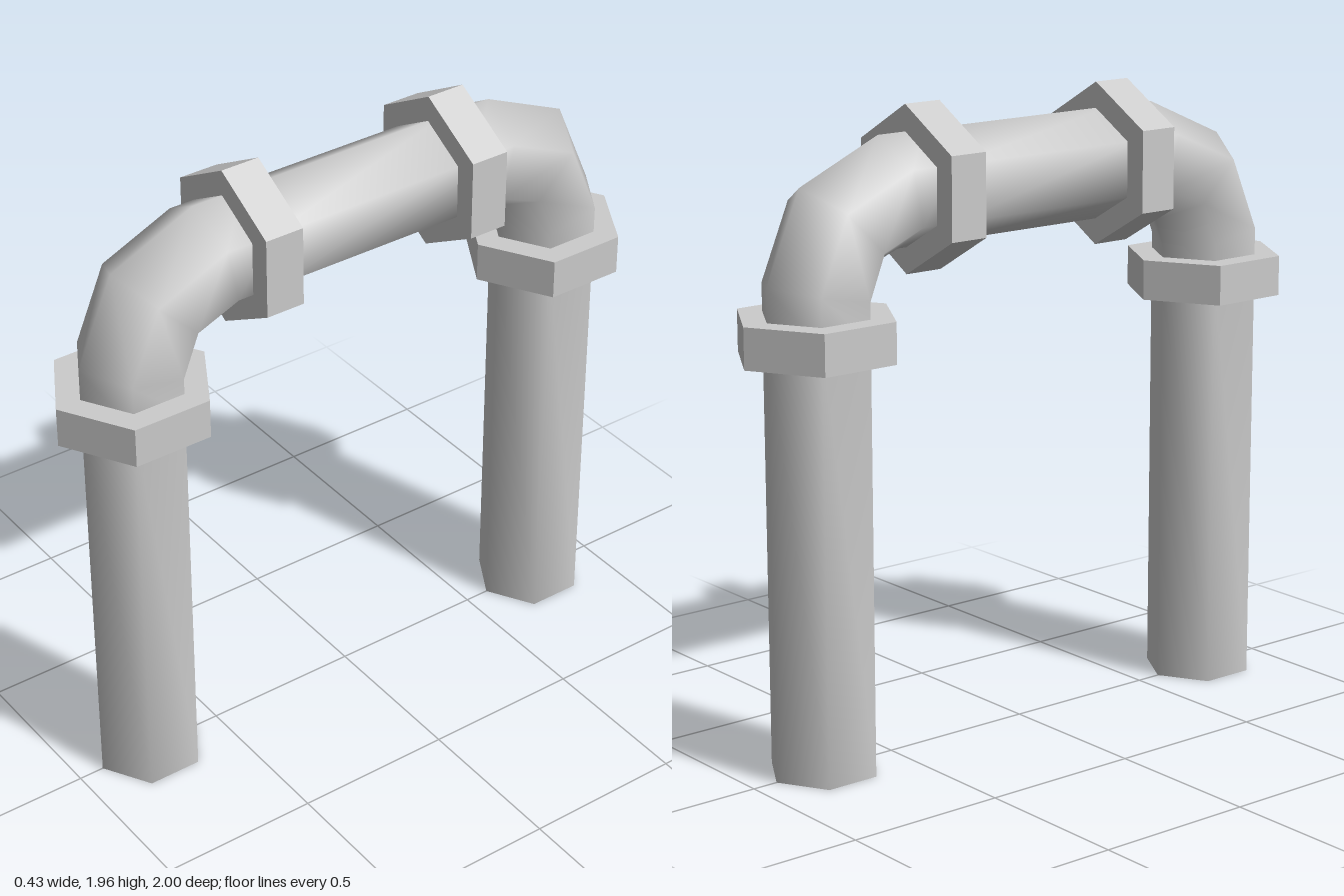
import * as THREE from 'three';

const SIDES = 6;
const R = 0.17;
const material = new THREE.MeshStandardMaterial({ color: 0xcccccc, side: THREE.DoubleSide });
const collarMaterial = new THREE.MeshStandardMaterial({ color: 0xcccccc, flatShading: true });

// Open hexagonal pipe through rings [z, y, tilt in degrees, radius in the bend plane]
function pipe(name, rings) {
  const positions = [];
  const index = [];
  rings.forEach(([z, y, tilt, r = R], i) => {
    const phi = THREE.MathUtils.degToRad(tilt);
    for (let j = 0; j < SIDES; j++) {
      const a = (j / SIDES) * Math.PI * 2;
      const out = Math.cos(a) * r;
      positions.push(Math.sin(a) * R, y + out * Math.sin(phi), z + out * Math.cos(phi));
      if (i === 0) continue;
      const k = (j + 1) % SIDES;
      const low = (i - 1) * SIDES;
      const high = i * SIDES;
      index.push(low + j, low + k, high + j, low + k, high + k, high + j);
    }
  });
  const geometry = new THREE.BufferGeometry();
  geometry.setAttribute('position', new THREE.Float32BufferAttribute(positions, 3));
  geometry.setIndex(index);
  geometry.computeVertexNormals();
  const mesh = new THREE.Mesh(geometry, material);
  mesh.name = name;
  return mesh;
}

// Hexagonal nut around a joint
function collar(name, y, z, horizontal) {
  const mesh = new THREE.Mesh(new THREE.CylinderGeometry(0.25, 0.25, 0.125, SIDES), collarMaterial);
  mesh.name = name;
  mesh.position.set(0, y, z);
  if (horizontal) mesh.rotation.x = Math.PI / 2;
  return mesh;
}

// One leg with its elbow and two collars
function halfArch(name) {
  const half = new THREE.Group();
  half.name = name;
  half.add(
    pipe('leg', [[0.75, 0, 0], [0.75, 1.32, 0]]),
    pipe('elbow', [
      [0.75, 1.32, 0],
      [0.75, 1.446, 11.25, 0.173],
      [0.675, 1.627, 45, 0.178],
      [0.49, 1.706, 78.75, 0.173],
      [0.36, 1.706, 90],
    ]),
    collar('legCollar', 1.317, 0.75, false),
    collar('crossbarCollar', 1.706, 0.362, true),
  );
  return half;
}

export function createModel() {
  const model = new THREE.Group();
  model.name = 'pipeArch';

  const front = halfArch('frontHalf');
  const back = halfArch('backHalf');
  back.rotation.y = Math.PI;
  model.add(front, back);

  // Straight pipe joining both halves
  model.add(pipe('crossbar', [[0.36, 1.706, 90], [-0.36, 1.706, 90]]));
  return model;
}
